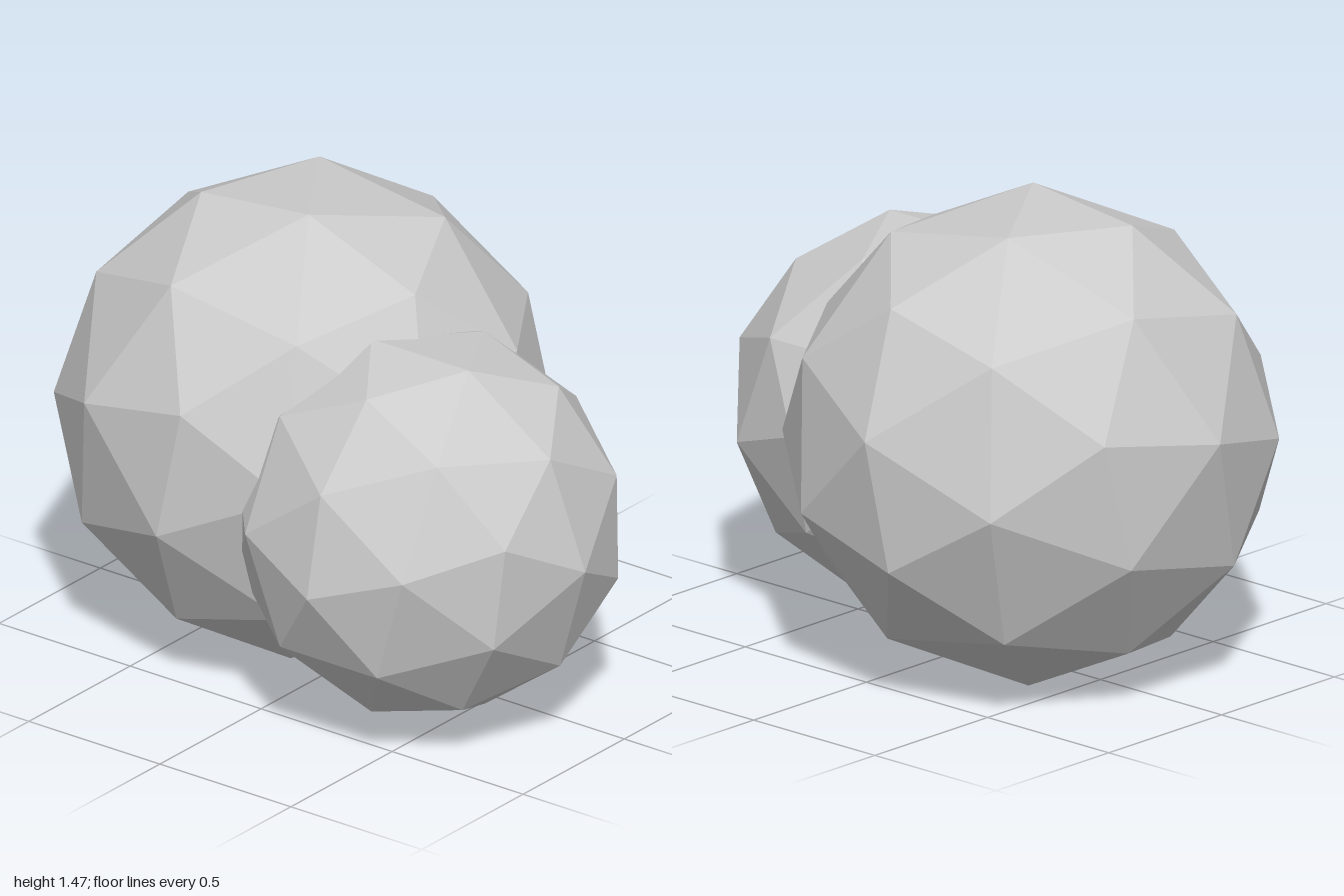
import * as THREE from 'three';

const material = new THREE.MeshStandardMaterial({ color: 0xcccccc, flatShading: true });

// Faceted boulder: 'pole' is the direction of an edge midpoint, 'along' runs along that edge
function boulder(name, radius, centre, pole, along) {
  const geometry = new THREE.IcosahedronGeometry(radius, 1);
  const y = new THREE.Vector3(...pole).normalize();
  const z = new THREE.Vector3(...along).cross(y).normalize();
  const x = new THREE.Vector3().crossVectors(y, z);
  geometry.applyMatrix4(new THREE.Matrix4().makeBasis(x, y, z));
  geometry.computeVertexNormals();
  const mesh = new THREE.Mesh(geometry, material);
  mesh.name = name;
  mesh.position.set(...centre);
  return mesh;
}

export function createModel() {
  const group = new THREE.Group();
  group.name = 'boulders';
  group.add(
    // Large boulder at the back
    boulder('largeBoulder', 0.761, [0.04, 0.737, -0.25], [0.24, 0.71, -0.13], [0.69, -0.182, 0.343]),
    // Small boulder in front, sunk into the large one
    boulder('smallBoulder', 0.6, [-0.193, 0.628, 0.4], [0, 0, 1], [0.885, -0.466, 0]),
  );
  return group;
}
